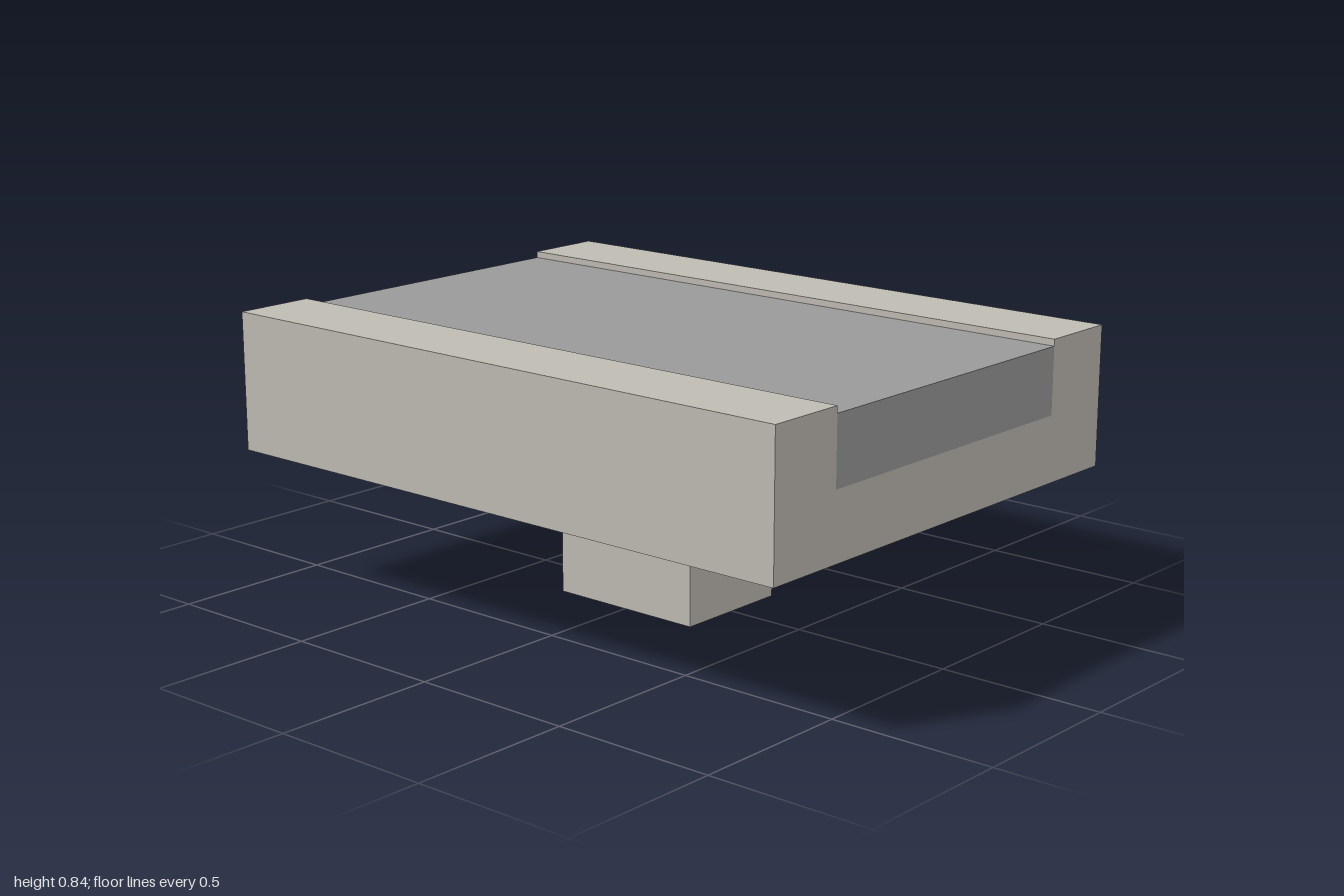
import * as THREE from 'three';

export function createModel() {
  const concrete = new THREE.MeshStandardMaterial({ color: 0xbfbbb3 });
  concrete.name = 'concrete';
  const asphalt = new THREE.MeshStandardMaterial({ color: 0x999999 });
  asphalt.name = 'asphalt';

  const length = 2, halfWidth = 0.75, halfRoad = 0.5;
  const deckBottom = 0.42, roadBottom = 0.62, roadTop = 0.82, deckTop = 0.84;

  const group = new THREE.Group();
  group.name = 'bridgeSection';
  const add = (name, geometry, material, y) => {
    const mesh = new THREE.Mesh(geometry, material);
    mesh.name = name;
    mesh.position.y = y;
    group.add(mesh);
  };

  // Deck: channel-shaped cross-section running along x, with raised side kerbs
  const profile = new THREE.Shape([
    [-halfWidth, deckBottom], [halfWidth, deckBottom], [halfWidth, deckTop], [halfRoad, deckTop],
    [halfRoad, roadBottom], [-halfRoad, roadBottom], [-halfRoad, deckTop], [-halfWidth, deckTop],
  ].map(([z, y]) => new THREE.Vector2(z, y)));
  const deck = new THREE.ExtrudeGeometry(profile, { depth: length, bevelEnabled: false });
  deck.translate(0, 0, -length / 2).rotateY(Math.PI / 2);
  add('deck', deck, concrete, 0);

  // Road slab filling the channel, slightly below the kerbs
  add('road', new THREE.BoxGeometry(length, roadTop - roadBottom, halfRoad * 2), asphalt, (roadTop + roadBottom) / 2);

  // Central supporting pier
  add('pier', new THREE.BoxGeometry(0.5, deckBottom, 0.375), concrete, deckBottom / 2);

  return group;
}
